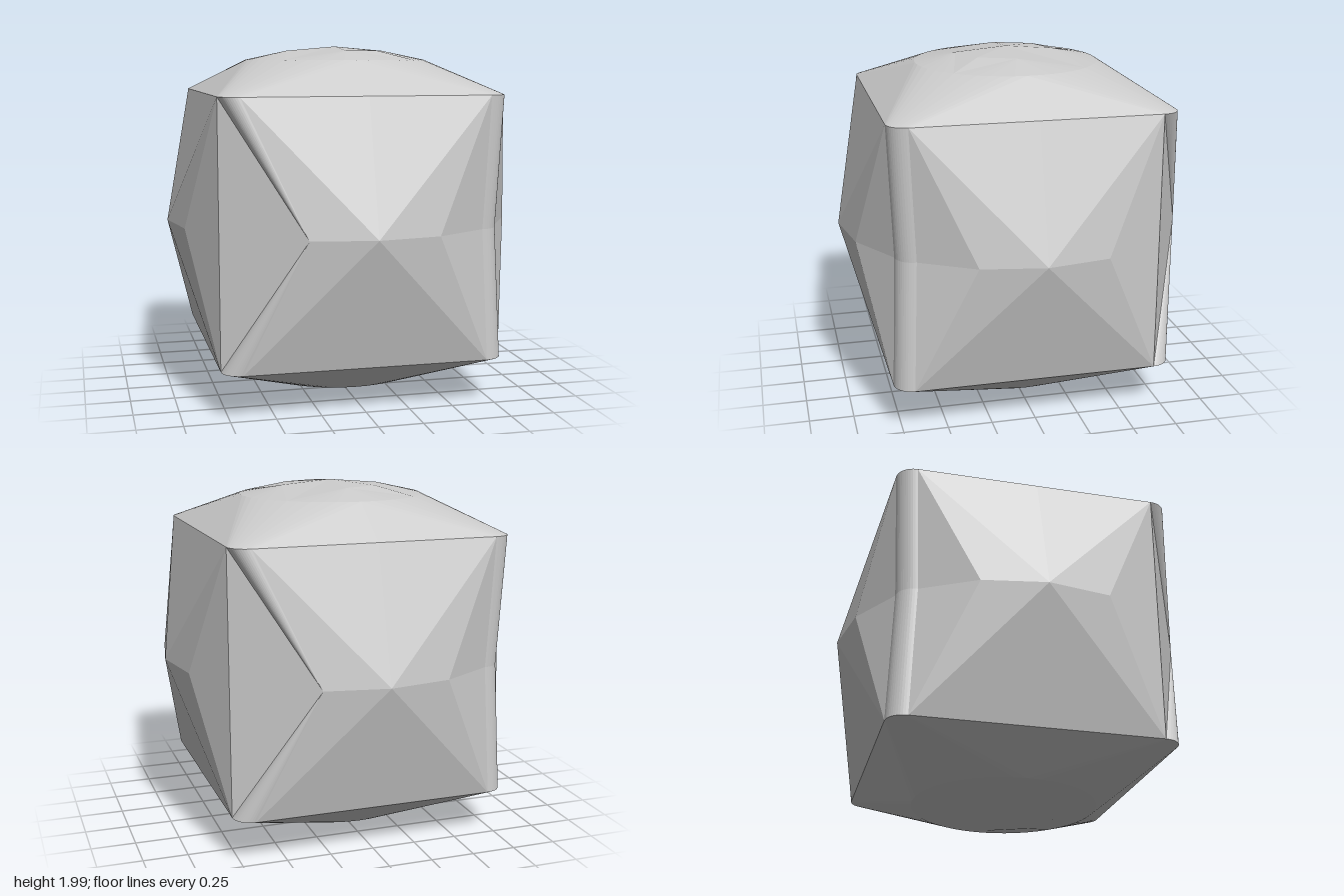
import * as THREE from 'three';

const MID = 1.003;  // height of the waist
const H = 0.735;    // rim height above and below the waist
const STEPS = 12;   // segments per quarter turn

const v = (x, y, z) => new THREE.Vector3(x, y, z);

// Collects outward-facing triangles, repeated by a half turn and by an up/down mirror
function makeShell() {
  const pos = [];
  const push = (a, b, c) => {
    const n = b.clone().sub(a).cross(c.clone().sub(a));
    const out = n.dot(a.clone().add(b).add(c)) > 0;
    for (const p of out ? [a, b, c] : [a, c, b]) pos.push(p.x, p.y + MID, p.z);
  };
  const tri = (a, b, c) => {
    for (const t of [1, -1]) {
      for (const s of [1, -1]) push(...[a, b, c].map((p) => v(p.x * t, p.y * s, p.z * t)));
    }
  };
  const mesh = (name) => {
    const g = new THREE.BufferGeometry();
    g.setAttribute('position', new THREE.Float32BufferAttribute(pos, 3));
    g.computeVertexNormals();
    const m = new THREE.Mesh(g, new THREE.MeshStandardMaterial({ color: 0xcccccc, flatShading: true }));
    m.name = name;
    return m;
  };
  return { tri, mesh };
}

// Quarter arc running from the z direction to the x direction; m = -1 mirrors it in x
function arc(centre, r, y, m) {
  return Array.from({ length: STEPS + 1 }, (_, i) => {
    const a = (i / STEPS) * Math.PI / 2;
    return v(m * (centre + r * Math.sin(a)), y, centre + r * Math.cos(a));
  });
}

// Bulging side walls; m = 1 has a rounded corner post, m = -1 a sharp cut corner
function addSides(tri, m) {
  const rim = arc(0.685, 0.105, H, m);
  const first = rim[0], last = rim[STEPS];
  const front = v(0, 0, 0.998), frontSide = v(m * 0.355, 0, 0.935);
  const side = v(m * 0.998, 0, 0), sideFront = v(m * 0.935, 0, 0.355);

  tri(front, v(0, H, first.z), first);
  tri(front, first, frontSide);
  tri(side, v(last.x, H, 0), last);
  tri(side, last, sideFront);

  if (m > 0) {
    const waist = arc(0.655, 0.105, 0, m);
    tri(frontSide, first, waist[0]);
    tri(sideFront, last, waist[STEPS]);
    for (let i = 0; i < STEPS; i++) {
      tri(waist[i], rim[i], rim[i + 1]);
      tri(waist[i], rim[i + 1], waist[i + 1]);
    }
  } else {
    const edge = v(last.x, 0, last.z);
    for (let i = 0; i < STEPS; i++) tri(frontSide, rim[i], rim[i + 1]);
    tri(frontSide, last, edge);
    tri(sideFront, last, edge);
  }
}

// Sloping shoulders from the rounded square rim to the cap circle, then the shallow dome
function addCaps(tri, m) {
  const rim = arc(0.685, 0.105, H, m);
  const circle = arc(0, 0.525, 0.92, m);
  const apex = v(0, 0.997, 0);
  const inZ = v(0, 0.972, 0.29), inX = v(m * 0.29, 0.972, 0);
  const half = STEPS / 2;

  tri(circle[0], v(0, H, rim[0].z), rim[0]);
  tri(circle[STEPS], v(rim[STEPS].x, H, 0), rim[STEPS]);
  for (let i = 0; i < STEPS; i++) {
    tri(circle[i], rim[i], rim[i + 1]);
    tri(circle[i], rim[i + 1], circle[i + 1]);
    tri(i < half ? inZ : inX, circle[i], circle[i + 1]);
  }
  if (m > 0) {
    const inD = v(0.205, 0.972, 0.205);
    for (const p of [inZ, inX]) {
      tri(apex, p, inD);
      tri(p, inD, circle[half]);
    }
  } else {
    tri(apex, inZ, circle[half]);
    tri(apex, inX, circle[half]);
  }
}

export function createModel() {
  const group = new THREE.Group();
  group.name = 'facetedCube';
  for (const [name, add] of [['sideWalls', addSides], ['domedCaps', addCaps]]) {
    const shell = makeShell();
    for (const m of [1, -1]) add(shell.tri, m);
    group.add(shell.mesh(name));
  }
  return group;
}
